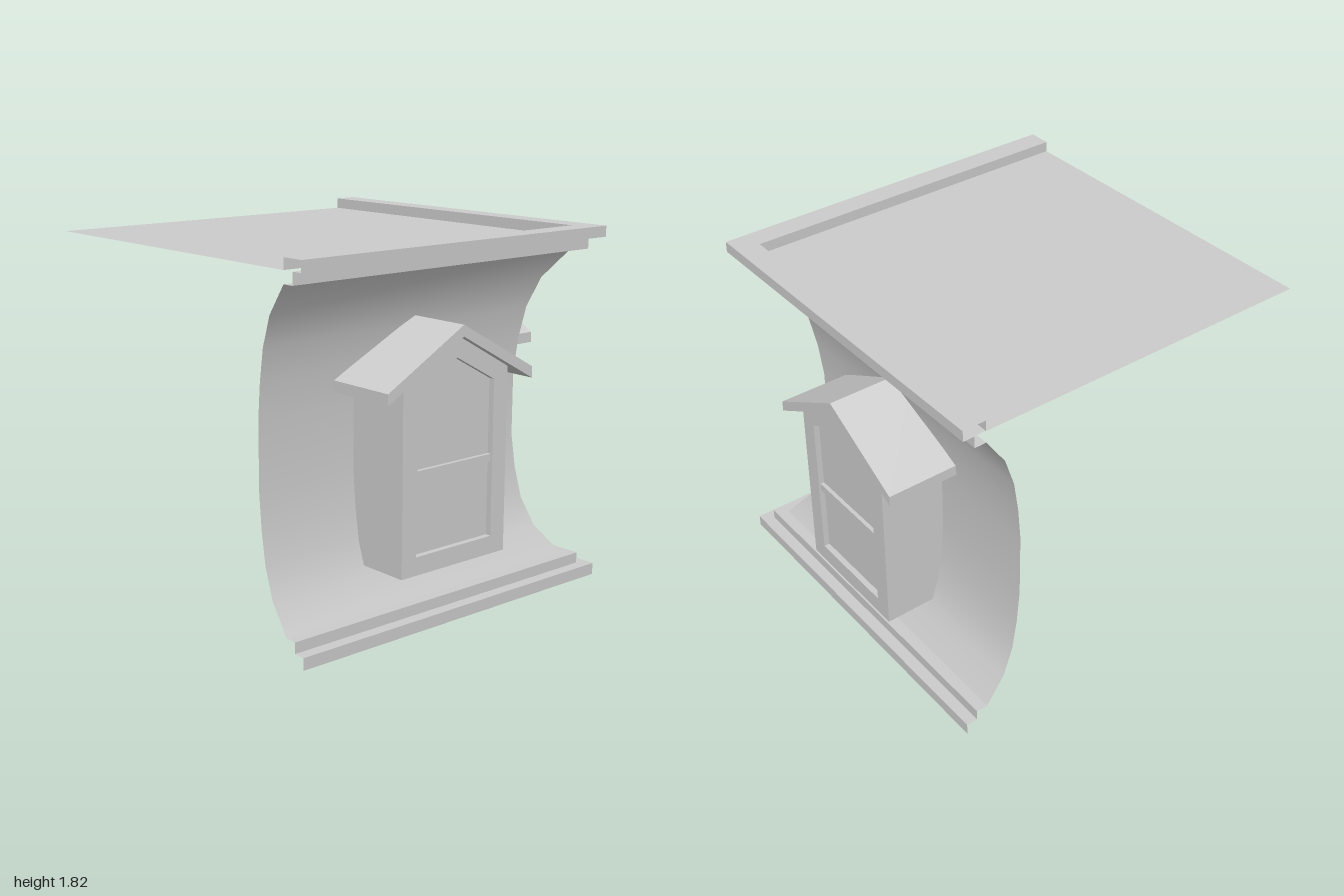
import * as THREE from 'three';
import { toCreasedNormals } from 'three/addons/utils/BufferGeometryUtils.js';

const material = new THREE.MeshStandardMaterial({ color: 0xcccccc, side: THREE.DoubleSide });

function add(group, name, geometry) {
  const mesh = new THREE.Mesh(geometry, material);
  mesh.name = name;
  group.add(mesh);
  return mesh;
}

// Surface through rows of points; each row has the same number of points
function loft(rows) {
  const positions = [];
  for (let i = 0; i < rows.length - 1; i++) {
    for (let j = 0; j < rows[i].length - 1; j++) {
      const a = rows[i][j], b = rows[i][j + 1], c = rows[i + 1][j + 1], d = rows[i + 1][j];
      positions.push(...a, ...b, ...c, ...a, ...c, ...d);
    }
  }
  const geometry = new THREE.BufferGeometry();
  geometry.setAttribute('position', new THREE.Float32BufferAttribute(positions, 3));
  geometry.computeVertexNormals();
  return toCreasedNormals(geometry, 0.5);
}

// Profile swept along two open sides that meet in a mitred corner
function sweep(profile) {
  return loft(profile.map(([r, y]) => [[-1, y, r], [r, y, r], [r, y, -1]]));
}

// House-shaped outline, anticlockwise from the lower left
function gable(halfWidth, bottom, eave, apex) {
  return [[-halfWidth, bottom], [halfWidth, bottom], [halfWidth, eave], [0, apex], [-halfWidth, eave]]
    .map(([x, y]) => new THREE.Vector2(x, y));
}

// Open tube joining an outline at two depths
function tube(outline, back, front) {
  const loop = [...outline, outline[0]];
  return loft([front, back].map(z => loop.map(p => [p.x, p.y, z])).reverse());
}

function createDormer(name) {
  const group = new THREE.Group();
  group.name = name;
  const back = 0.53, face = 0.96, paneDepth = 0.93;
  const body = gable(0.333, 0.3, 1.213, 1.4);
  const opening = gable(0.243, 0.39, 1.163, 1.297);

  // Open-backed casing, front frame, reveal and recessed pane
  add(group, 'dormerCasing', tube(body, back, face));
  const frame = new THREE.Shape(body);
  frame.holes.push(new THREE.Path(opening));
  add(group, 'windowFrame', new THREE.ShapeGeometry(frame).translate(0, 0, face));
  add(group, 'windowReveal', tube(opening, paneDepth, face));
  add(group, 'windowPane', new THREE.ShapeGeometry(new THREE.Shape(opening)).translate(0, 0, paneDepth));
  add(group, 'windowRail', new THREE.BoxGeometry(0.486, 0.04, 0.02)).position.set(0, 0.777, 0.94);

  // Pitched roof slab of even vertical thickness
  const roof = new THREE.Shape([[-0.46, 1.145], [0, 1.4], [0.46, 1.145], [0.46, 1.2], [0, 1.455], [-0.46, 1.2]]
    .map(([x, y]) => new THREE.Vector2(x, y)));
  add(group, 'dormerRoof',
    new THREE.ExtrudeGeometry(roof, { depth: 1 - back, bevelEnabled: false }).translate(0, 0, back));
  return group;
}

export function createModel() {
  const model = new THREE.Group();
  model.name = 'cornerBuildingStorey';

  // Stepped base, concave wall and stepped cornice
  const curve = [[0.81, 0.115], [0.71, 0.26], [0.66, 0.41], [0.635, 0.57], [0.62, 0.745]];
  const upper = curve.map(([r, y]) => [r, 1.82 - y]).reverse();
  add(model, 'baseTrim', sweep([[0.93, 0], [0.93, 0.06], [0.87, 0.06], [0.87, 0.115], [0.81, 0.115]]));
  add(model, 'curvedWall', sweep([...curve, ...upper]));
  add(model, 'cornice', sweep([[0.81, 1.705], [0.87, 1.705], [0.87, 1.765], [0.93, 1.765],
    [0.93, 1.82], [0.81, 1.82], [0.81, 1.765]]));

  // Flat roof set below the cornice rim
  const roof = add(model, 'flatRoof', new THREE.PlaneGeometry(1.81, 1.81).rotateX(-Math.PI / 2));
  roof.position.set(-0.095, 1.765, -0.095);

  // One dormer window on each wall
  const front = createDormer('frontDormer');
  front.position.x = -0.115;
  const side = createDormer('sideDormer');
  side.rotation.y = Math.PI / 2;
  side.position.z = -0.073;
  model.add(front, side);
  return model;
}
